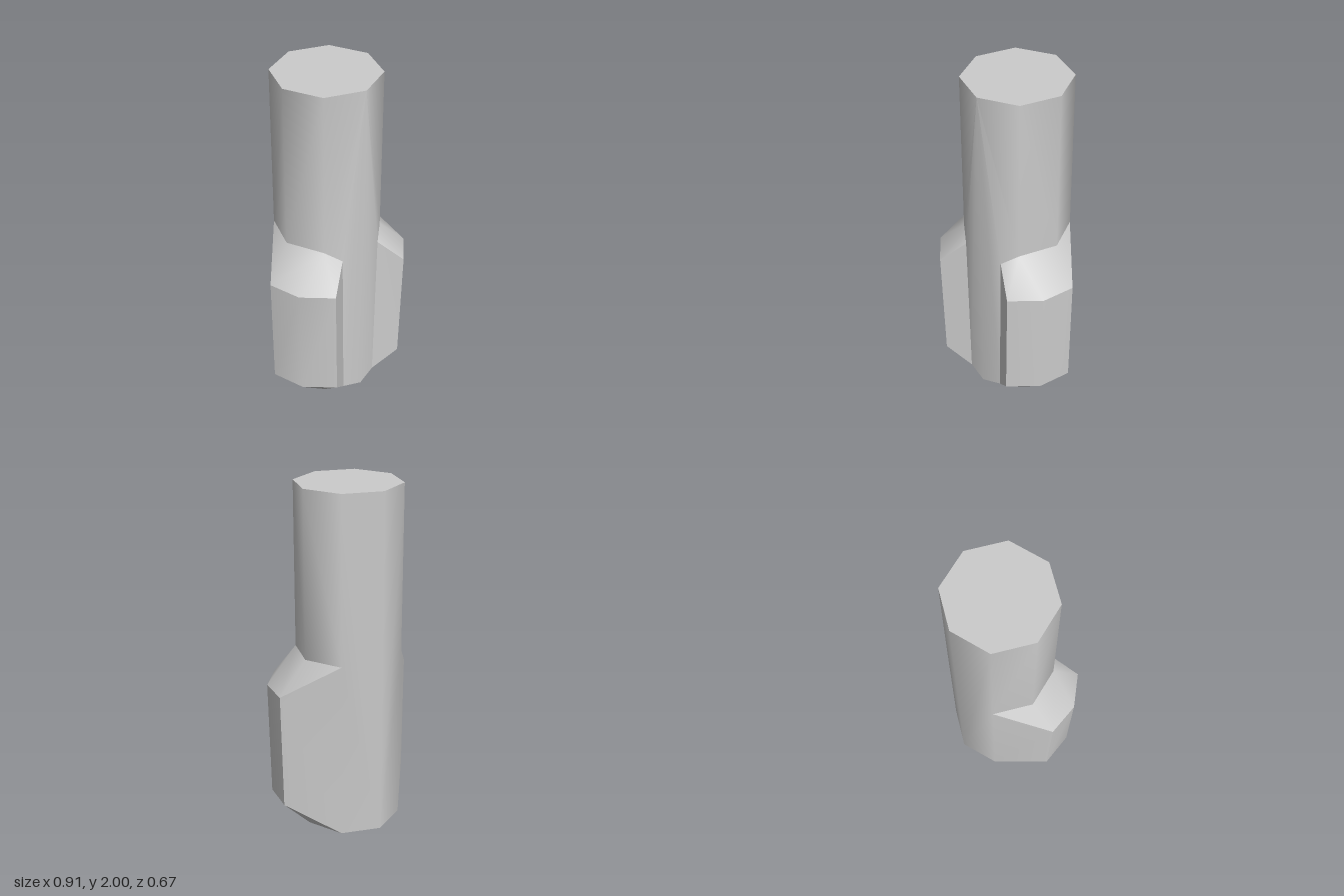
import * as THREE from 'three';
import { toCreasedNormals } from 'three/addons/utils/BufferGeometryUtils.js';

// Corners of the left half: t = top, s = shoulder line, u/l = upper/lower fin rim, b = base
const P = {
  t0: [0, 2, 0.268], t1: [0.214, 2, 0.18], t2: [0.302, 2, -0.034], t3: [0.214, 2, -0.248], t4: [0, 2, -0.336],
  s1: [0.214, 1.04, 0.18], s2: [0.302, 1.04, -0.034], s3: [0.214, 1.04, -0.248],
  u1: [0.265, 0.84, 0.332], u2: [0.41, 0.84, 0.19], u3: [0.455, 0.84, 0],
  l1: [0.25, 0.16, 0.328], l2: [0.395, 0.16, 0.19], l3: [0.445, 0.16, -0.005],
  b0: [0, 0, 0.268], b1: [0.2, 0, 0.165], b2: [0.285, 0, -0.034], b3: [0.214, 0, -0.245], b4: [0, 0, -0.336],
  d: [0.135, 0.98, 0.245], e: [0.12, 0.03, 0.245], // top and bottom of the front channel's edge
};

// Faces of each part as corner loops, counter-clockwise from outside
const PARTS = {
  shaft: ['t0 b0 e d s1 t1', 't1 s1 s2 t2', 't2 s2 s3 t3', 'b4 t4 t3 s3 b3', 'u3 l3 b3 s3'],
  finSides: ['d e l1 u1', 'u1 l1 l2 u2', 'u2 l2 l3 u3'],
  finShoulders: ['d u1 s1', 's1 u1 u2', 's1 u2 u3 s2', 's2 u3 s3'],
  lowerBevels: ['l1 e b1', 'l1 b1 l2', 'l2 b1 b2 l3', 'l3 b2 b3', 'e b0 b1'],
  topCap: ['t0 t1 t2 t3 t4'],
  baseCap: ['b1 b0 b4 b3 b2'],
};

// Fan each loop into triangles and mirror it across x = 0
function buildPart(faces) {
  const pos = [];
  for (const face of faces) {
    const c = face.split(' ').map((k) => P[k]);
    for (let i = 1; i < c.length - 1; i++) {
      const tri = [c[0], c[i], c[i + 1]];
      for (const p of tri) pos.push(...p);
      for (const [x, y, z] of tri.reverse()) pos.push(-x, y, z);
    }
  }
  const geo = new THREE.BufferGeometry();
  geo.setAttribute('position', new THREE.Float32BufferAttribute(pos, 3));
  return toCreasedNormals(geo, THREE.MathUtils.degToRad(50));
}

export function createModel() {
  const group = new THREE.Group();
  group.name = 'finnedPost';
  const material = new THREE.MeshStandardMaterial({ color: 0xcccccc });
  for (const [name, faces] of Object.entries(PARTS)) {
    const mesh = new THREE.Mesh(buildPart(faces), material);
    mesh.name = name;
    group.add(mesh);
  }
  return group;
}
